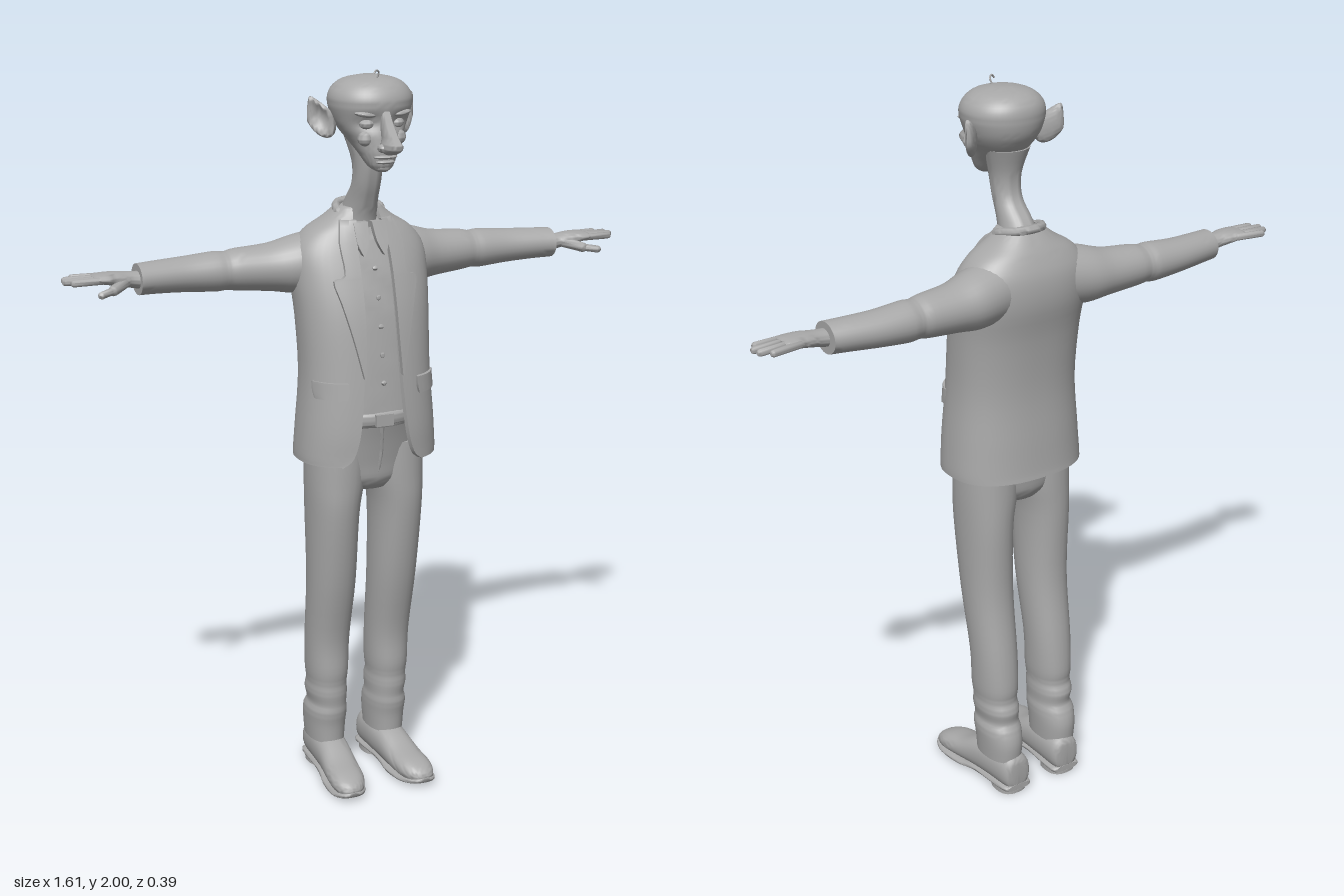
import * as THREE from 'three';
import { toCreasedNormals, mergeGeometries } from 'three/addons/utils/BufferGeometryUtils.js';

const V = (x, y, z) => new THREE.Vector3(x, y, z);

// Smoothly refine rows of numbers (Catmull-Rom through each column)
function refine(rows, sub = 4) {
  const out = [];
  const at = i => rows[Math.min(rows.length - 1, Math.max(0, i))];
  for (let i = 0; i < rows.length - 1; i++)
    for (let s = 0; s < sub; s++) {
      const t = s / sub;
      out.push(rows[i].map((b, k) => {
        const a = at(i - 1)[k], c = at(i + 1)[k], d = at(i + 2)[k];
        return b + 0.5 * t * (c - a + t * (2 * a - 5 * b + 4 * c - d + t * (3 * (b - c) + d - a)));
      }));
    }
  out.push(rows[rows.length - 1].slice());
  return out;
}

const power = (v, n) => Math.sign(v) * Math.abs(v) ** (2 / n);
const place = { y: (t, u, v) => [u, t, v], x: (t, u, v) => [t, v, u], z: (t, u, v) => [v, u, t] };

// Skin rings of equal length; strip = true closes the ends of a folded sheet
function skin(rings, strip) {
  const n = rings[0].length, pos = rings.flat(2), idx = [];
  for (let i = 0; i < rings.length - 1; i++)
    for (let j = 0; j < n; j++) {
      const a = i * n + j, b = i * n + (j + 1) % n;
      idx.push(a, a + n, b, b, a + n, b + n);
    }
  const last = (rings.length - 1) * n;
  if (strip) {
    for (let j = 0; j < n / 2 - 1; j++) {
      const k = n - 1 - j;
      idx.push(j, j + 1, k, j + 1, k - 1, k);
      idx.push(last + j, last + k, last + j + 1, last + j + 1, last + k, last + k - 1);
    }
  } else {
    for (let j = 1; j < n - 1; j++) idx.push(0, j, j + 1, last, last + j + 1, last + j);
  }
  const g = new THREE.BufferGeometry();
  g.setAttribute('position', new THREE.Float32BufferAttribute(pos, 3));
  g.setIndex(idx);
  return g;
}

// Rows: [along, centreU, centreV, radiusU, radiusV]
function loft(rows, axis = 'y', n = 2, warp = null, segs = 28) {
  return skin(refine(rows).map(([t, cu, cv, ru, rv]) => Array.from({ length: segs }, (_, j) => {
    const a = j / segs * Math.PI * 2;
    const p = place[axis](t, cu + ru * power(Math.cos(a), n), cv + rv * power(Math.sin(a), n));
    return warp ? warp(p) : p;
  })));
}

function ball(x, y, z, rx, ry, rz, tilt = 0) {
  return new THREE.SphereGeometry(1, 20, 14).scale(rx, ry, rz).rotateZ(tilt).translate(x, y, z);
}

function limb(a, b, r) {
  const d = b.clone().sub(a), g = new THREE.CapsuleGeometry(r, d.length(), 4, 10);
  g.applyQuaternion(new THREE.Quaternion().setFromUnitVectors(V(0, 1, 0), d.clone().normalize()));
  const m = a.clone().add(b).multiplyScalar(0.5);
  return g.translate(m.x, m.y, m.z);
}

function tube(points, r, closed = false) {
  return new THREE.TubeGeometry(new THREE.CatmullRomCurve3(points, closed), 40, r, 8, closed);
}

function mirrored(g) {
  const m = g.clone().scale(-1, 1, 1), i = m.index.array;
  for (let k = 0; k < i.length; k += 3) [i[k], i[k + 1]] = [i[k + 1], i[k]];
  return m;
}

// Jacket rows: [y, centreZ, radiusX, radiusZ, half opening]
const COAT = [
  [0.96, -0.026, 0.195, 0.146, 0.115], [0.985, -0.025, 0.195, 0.144, 0.088],
  [1.06, -0.023, 0.19, 0.141, 0.068], [1.2, -0.025, 0.18, 0.131, 0.055],
  [1.35, -0.04, 0.184, 0.126, 0.05], [1.45, -0.061, 0.19, 0.122, 0.05],
  [1.52, -0.072, 0.185, 0.108, 0.05], [1.57, -0.073, 0.15, 0.088, 0.045],
  [1.605, -0.07, 0.095, 0.07, 0.04], [1.635, -0.065, 0.058, 0.052, 0.035]];
const COAT_FINE = refine(COAT), N = 2.4;

function coatFront(x, y) {
  let i = COAT_FINE.findIndex(r => r[0] >= y);
  i = Math.max(1, i < 0 ? COAT_FINE.length - 1 : i);
  const a = COAT_FINE[i - 1], b = COAT_FINE[i], t = (y - a[0]) / (b[0] - a[0]);
  const [, cz, rx, rz] = a.map((v, k) => v + (b[k] - v) * t);
  return cz + rz * Math.max(0, 1 - Math.min(1, Math.abs(x) / rx) ** N) ** (1 / N);
}

// Open-fronted coat made from a folded sheet
function coatGeometry() {
  const count = 44;
  return skin(COAT_FINE.map(([y, cz, rx, rz, gap]) => {
    const start = Math.asin(Math.min(0.95, (gap / rx) ** (N / 2)));
    const side = inset => Array.from({ length: count }, (_, j) => {
      const a = start + j / (count - 1) * 2 * (Math.PI - start);
      return [(rx - inset) * power(Math.sin(a), N), y, cz + (rz - inset) * power(Math.cos(a), N)];
    });
    return [...side(0), ...side(0.012).reverse()].reverse();
  }), true);
}

// Raised panel following the coat front; rows: [y, inner x, outer x]
function panel(rows, lift) {
  return skin(refine(rows, 3).map(([y, xi, xo]) => {
    const xs = [0, 1, 2, 3, 4].map(k => xi + (xo - xi) * k / 4);
    const line = h => xs.map(x => [x, y, coatFront(x, y) + h]);
    return [...line(-0.006), ...line(lift).reverse()];
  }), true);
}

// Pointed, cupped ear
function earGeometry() {
  const g = new THREE.SphereGeometry(1, 24, 18), p = g.attributes.position;
  for (let i = 0; i < p.count; i++) {
    const u = p.getX(i), v = p.getY(i), w = p.getZ(i), r = u * u + v * v;
    p.setXYZ(i, u * (1 - 0.6 * Math.max(0, v)) * 0.037 + v * 0.008, v * 0.058, (w > 0 ? w * (1.7 * r - 0.6) : w) * 0.016);
  }
  return g.rotateZ(-0.35).rotateY(0.75).translate(0.124, 1.876, -0.025);
}

export function createModel() {
  const root = new THREE.Group();
  const grey = new THREE.MeshStandardMaterial({ color: 0xa8a8a8 });
  grey.name = 'plain grey';
  const add = (name, g, crease = 1) => {
    const m = new THREE.Mesh(toCreasedNormals(g, crease), grey);
    m.name = name;
    root.add(m);
  };
  const pair = (name, g, crease) => {
    add('left ' + name, g, crease);
    add('right ' + name, mirrored(g), crease);
  };

  // Head and neck
  add('head', loft([
    [1.744, 0, 0.088, 0.014, 0.015], [1.757, 0, 0.078, 0.032, 0.036], [1.79, 0, 0.06, 0.05, 0.06],
    [1.82, 0, 0.035, 0.066, 0.083], [1.85, 0, 0.02, 0.086, 0.095], [1.88, 0, 0.012, 0.1, 0.103],
    [1.92, 0, 0.012, 0.11, 0.109], [1.95, 0, 0.01, 0.1, 0.099], [1.972, 0, 0.01, 0.072, 0.073],
    [1.983, 0, 0.01, 0.025, 0.025]], 'y', 2.1, ([x, y, z]) => {
      // Sunken eye sockets
      const d = ((Math.abs(x) - 0.043) / 0.03) ** 2 + ((y - 1.868) / 0.02) ** 2;
      return [x, y, z > 0.05 ? z - 0.014 * Math.exp(-d) : z];
    }, 48), 2);
  add('neck', loft([
    [1.54, 0, -0.07, 0.058, 0.06], [1.6, 0, -0.064, 0.05, 0.06], [1.65, 0, -0.042, 0.042, 0.055],
    [1.7, 0, -0.01, 0.038, 0.042], [1.76, 0, 0, 0.042, 0.045], [1.83, 0, -0.01, 0.062, 0.055]]));
  add('nose', loft([
    [1.793, 0, 0.138, 0.01, 0.01], [1.8, 0, 0.143, 0.02, 0.032], [1.815, 0, 0.15, 0.024, 0.047],
    [1.832, 0, 0.142, 0.018, 0.042], [1.86, 0, 0.122, 0.015, 0.03], [1.9, 0, 0.105, 0.012, 0.016]]), 2);
  pair('nostril', ball(0.021, 1.81, 0.137, 0.011, 0.011, 0.018));
  pair('eye', ball(0.042, 1.867, 0.085, 0.02, 0.014, 0.02));
  pair('brow', ball(0.045, 1.892, 0.094, 0.034, 0.008, 0.019, 0.12));
  pair('cheek', ball(0.045, 1.83, 0.088, 0.022, 0.02, 0.018));
  add('upper lip', ball(0, 1.784, 0.11, 0.033, 0.006, 0.02));
  add('lower lip', ball(0, 1.771, 0.107, 0.027, 0.006, 0.018));
  add('chin', ball(0, 1.756, 0.095, 0.023, 0.012, 0.019));
  pair('ear', earGeometry(), 2);
  add('hair curl', tube([V(0, 1.975, 0.055), V(0.004, 1.993, 0.06), V(-0.006, 1.998, 0.066), V(-0.014, 1.99, 0.068)], 0.0025));

  // Shirt, belt and trouser seat
  add('shirt', loft(COAT.slice(2).map(([y, cz, rx, rz]) => [y, 0, cz - 0.004, rx - 0.016, rz - 0.014]), 'y', 2.4,
    ([x, y, z]) => [x, y, z > 0 ? z + 0.005 * Math.sin(y * 60 + x * 50) : z], 64), 2);
  add('belt', loft([[1.065, 0, -0.027, 0.16, 0.125], [1.07, 0, -0.027, 0.168, 0.133],
    [1.095, 0, -0.027, 0.168, 0.133], [1.1, 0, -0.027, 0.16, 0.125]]));
  add('belt buckle', new THREE.BoxGeometry(0.05, 0.032, 0.012).translate(0, 1.082, 0.108));
  add('trouser seat', loft([[0.87, 0, -0.03, 0.08, 0.07], [0.9, 0, -0.03, 0.13, 0.092],
    [0.95, 0, -0.03, 0.16, 0.1], [1.02, 0, -0.028, 0.165, 0.112], [1.08, 0, -0.027, 0.165, 0.127]]));
  add('fly', tube([V(0, 1.06, 0.095), V(0.006, 0.98, 0.073), V(0, 0.9, 0.055)], 0.006));
  for (let i = 0; i < 5; i++) {
    const y = 1.18 + i * 0.075;
    add('shirt button', ball(0.004, y, coatFront(0, y) - 0.012, 0.007, 0.007, 0.005));
  }
  pair('shirt collar', panel([[1.515, 0.028, 0.032], [1.55, 0.012, 0.045], [1.6, 0.006, 0.045]], 0.012));

  // Jacket
  add('jacket', coatGeometry());
  pair('lapel', panel([[1.2, 0.053, 0.058], [1.3, 0.048, 0.08], [1.4, 0.046, 0.105],
    [1.455, 0.046, 0.118], [1.47, 0.046, 0.088], [1.55, 0.044, 0.09], [1.605, 0.035, 0.075]], 0.01));
  pair('pocket flap', panel([[1.145, 0.105, 0.172], [1.165, 0.1, 0.174], [1.19, 0.1, 0.174]], 0.012));
  add('jacket collar', tube([V(0.05, 1.6, -0.02), V(0.062, 1.625, -0.06), V(0.04, 1.635, -0.105), V(0, 1.638, -0.118),
    V(-0.04, 1.635, -0.105), V(-0.062, 1.625, -0.06), V(-0.05, 1.6, -0.02)], 0.012));

  // Sleeves with gentle elbow folds
  pair('sleeve', loft([
    [0.08, -0.088, 1.492, 0.08, 0.085], [0.17, -0.1, 1.481, 0.083, 0.078], [0.24, -0.11, 1.476, 0.07, 0.064],
    [0.33, -0.117, 1.476, 0.06, 0.056], [0.36, -0.118, 1.475, 0.055, 0.051], [0.39, -0.12, 1.475, 0.057, 0.053],
    [0.47, -0.12, 1.475, 0.053, 0.047], [0.55, -0.112, 1.476, 0.05, 0.043], [0.605, -0.104, 1.476, 0.048, 0.041]], 'x'));

  // Hands
  const fingers = [[-0.132, 0.768, -0.143], [-0.111, 0.792, -0.121], [-0.09, 0.796, -0.098], [-0.071, 0.78, -0.074]];
  pair('hand', mergeGeometries([
    loft([[0.59, -0.1, 1.474, 0.028, 0.024], [0.63, -0.1, 1.479, 0.027, 0.021], [0.67, -0.1, 1.485, 0.038, 0.018],
      [0.71, -0.101, 1.488, 0.041, 0.013], [0.725, -0.101, 1.488, 0.034, 0.007]], 'x'),
    ...[...fingers.map(([z, x, ze]) => limb(V(0.69, 1.487, z), V(x, 1.486, ze), 0.0095)),
      limb(V(0.64, 1.476, -0.085), V(0.685, 1.464, -0.05), 0.014),
      limb(V(0.685, 1.464, -0.05), V(0.722, 1.459, -0.03), 0.01)].map(g => {
      g.deleteAttribute('uv');
      g.deleteAttribute('normal');
      return g;
    })]));

  // Trouser legs, bunched above the shoes
  pair('trouser leg', loft([
    [0.1, 0.092, -0.102, 0.05, 0.078], [0.15, 0.092, -0.102, 0.054, 0.081], [0.19, 0.092, -0.094, 0.056, 0.08],
    [0.215, 0.09, -0.088, 0.051, 0.073], [0.25, 0.092, -0.088, 0.055, 0.077], [0.28, 0.092, -0.083, 0.053, 0.071],
    [0.32, 0.092, -0.082, 0.057, 0.075], [0.42, 0.092, -0.076, 0.06, 0.072], [0.6, 0.092, -0.045, 0.065, 0.08],
    [0.8, 0.094, -0.032, 0.069, 0.097], [0.9, 0.087, -0.03, 0.078, 0.1], [1.0, 0.083, -0.03, 0.08, 0.1]], 'y', 2.2));

  // Shoes: upper, sole and heel block
  pair('shoe', loft([
    [-0.19, 0.06, 0.085, 0.03, 0.022], [-0.178, 0.064, 0.085, 0.052, 0.042], [-0.1, 0.068, 0.088, 0.056, 0.048],
    [-0.03, 0.06, 0.092, 0.05, 0.048], [0.04, 0.045, 0.098, 0.035, 0.05], [0.1, 0.037, 0.104, 0.029, 0.048],
    [0.138, 0.03, 0.108, 0.02, 0.033], [0.152, 0.026, 0.11, 0.008, 0.013]], 'z', 2.3));
  pair('shoe sole', loft([
    [-0.19, 0.02, 0.085, 0.008, 0.026], [-0.175, 0.02, 0.085, 0.01, 0.045], [-0.05, 0.02, 0.092, 0.01, 0.046],
    [0.03, 0.01, 0.098, 0.01, 0.053], [0.1, 0.012, 0.105, 0.01, 0.051], [0.14, 0.018, 0.109, 0.009, 0.036],
    [0.155, 0.022, 0.11, 0.006, 0.015]], 'z', 3));
  pair('shoe heel', loft([[0, 0.086, -0.14, 0.043, 0.047], [0.024, 0.086, -0.14, 0.043, 0.047]], 'y', 2.6));

  return root;
}
